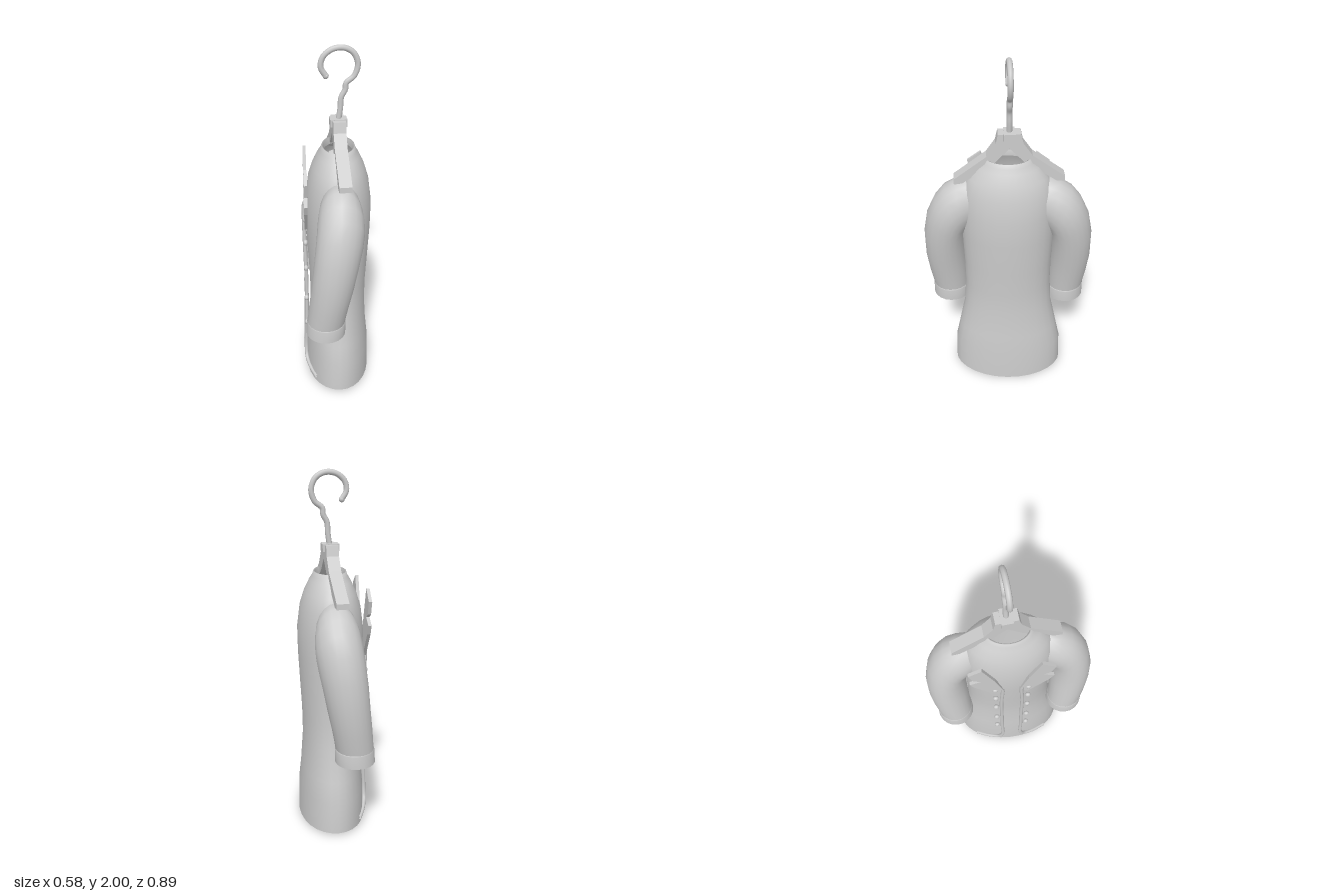
import * as THREE from 'three';

const grey = new THREE.MeshStandardMaterial({ color: 0xcccccc, side: THREE.DoubleSide });
grey.name = 'light grey';

function add(parent, name, geometry) {
  const mesh = new THREE.Mesh(geometry, grey);
  mesh.name = name;
  parent.add(mesh);
  return mesh;
}

// Skin over closed rings of points, listed from bottom to top
function loft(rings) {
  const n = rings[0].length, index = [];
  for (let j = 0; j < rings.length - 1; j++) {
    for (let i = 0; i < n; i++) {
      const a = j * n + i, b = j * n + (i + 1) % n;
      index.push(a, a + n, b, b, a + n, b + n);
    }
  }
  const g = new THREE.BufferGeometry();
  g.setAttribute('position', new THREE.Float32BufferAttribute(rings.flat(2), 3));
  g.setIndex(index);
  g.computeVertexNormals();
  return g;
}

// Ring between an inner and an outer point, with depth along z
function ring([xi, yi, xo, yo, zc, hz], n = 20) {
  return Array.from({ length: n }, (_, i) => {
    const t = i / n * Math.PI * 2, c = Math.cos(t);
    return [(xi + xo) / 2 + c * (xo - xi) / 2, (yi + yo) / 2 + c * (yo - yi) / 2, zc + hz * Math.sin(t)];
  });
}

function plate(points, depth) {
  const shape = new THREE.Shape(points.map(p => new THREE.Vector2(...p)));
  const g = new THREE.ExtrudeGeometry(shape, { depth, bevelEnabled: false });
  return g.translate(0, 0, -depth / 2);
}

function tube(points, radius, segments) {
  const curve = new THREE.CatmullRomCurve3(points.map(p => new THREE.Vector3(...p)));
  return new THREE.TubeGeometry(curve, segments, radius, 8);
}

function buildCoat() {
  const coat = new THREE.Group();
  coat.name = 'coat';

  // Body: height, half width, half depth
  const body = [
    [0.01, 0.325, 0.19], [0.2, 0.318, 0.185], [0.32, 0.293, 0.172], [0.5, 0.256, 0.16],
    [0.65, 0.247, 0.162], [0.8, 0.248, 0.17], [1.0, 0.255, 0.18], [1.15, 0.258, 0.182],
    [1.28, 0.25, 0.165], [1.36, 0.215, 0.14], [1.42, 0.165, 0.112], [1.445, 0.135, 0.096],
    [1.47, 0.122, 0.088], [1.465, 0.112, 0.08], [1.43, 0.118, 0.08],
  ].map(([y, a, b]) => ring([-a, y, a, y, 0, b], 28));
  body[0].forEach((p, i) => { p[1] += 0.01 * Math.cos(i / 28 * Math.PI * 4); });
  add(coat, 'body', loft(body));

  for (const side of [1, -1]) {
    const half = new THREE.Group();
    half.name = side > 0 ? 'leftHalf' : 'rightHalf';
    half.scale.x = side;
    coat.add(half);

    // Sleeve bending forward toward the cuff
    add(half, 'sleeve', loft([
      [0.238, 0.56, 0.444, 0.56, 0.082, 0.103],
      [0.243, 0.68, 0.462, 0.68, 0.066, 0.108],
      [0.247, 0.78, 0.475, 0.82, 0.046, 0.114],
      [0.25, 0.87, 0.472, 0.98, 0.028, 0.12],
      [0.248, 0.94, 0.445, 1.12, 0.012, 0.124],
      [0.245, 0.98, 0.40, 1.22, 0.003, 0.125],
      [0.24, 1.0, 0.345, 1.29, 0, 0.123],
      [0.23, 1.02, 0.28, 1.33, 0, 0.117],
      [0.215, 1.04, 0.22, 1.345, 0, 0.108],
      [0.19, 1.06, 0.185, 1.32, 0, 0.095],
    ].map(r => ring(r))));
    add(half, 'cuff', loft([
      [0.232, 0.49, 0.45, 0.49, 0.084, 0.109],
      [0.234, 0.562, 0.449, 0.562, 0.081, 0.108],
      [0.241, 0.57, 0.442, 0.57, 0.08, 0.1],
    ].map(r => ring(r))));

    // Notched lapel standing off the chest
    const lapel = add(half, 'lapel', plate([
      [0.045, 1.05], [0.09, 1.22], [0.155, 1.4], [0.228, 1.345],
      [0.205, 1.27], [0.165, 1.245], [0.225, 1.215], [0.2, 1.16], [0.085, 1.0],
    ], 0.018));
    lapel.position.z = 0.18;

    // Front edge trim that sweeps round at the hem
    add(half, 'frontTrim', tube([
      [0.05, 1.08, 0.192], [0.06, 0.85, 0.188], [0.06, 0.6, 0.183], [0.06, 0.3, 0.188],
      [0.06, 0.14, 0.193], [0.085, 0.08, 0.19], [0.15, 0.06, 0.172], [0.23, 0.045, 0.136],
    ], 0.011, 48));

    // Button column
    for (const y of [1.07, 0.92, 0.75, 0.54, 0.36]) {
      const button = add(half, 'button', new THREE.SphereGeometry(0.017, 10, 8));
      button.scale.z = 0.8;
      button.position.set(0.092, y, 0.185);
    }
  }
  return coat;
}

function buildHanger() {
  const hanger = new THREE.Group();
  hanger.name = 'hanger';

  // Arms cut from one mirrored outline
  const right = [
    [0.06, 1.615], [0.072, 1.56], [0.12, 1.49], [0.294, 1.36], [0.294, 1.33],
    [0.25, 1.335], [0.075, 1.455], [0, 1.535],
  ];
  const left = right.slice(0, -1).reverse().map(([x, y]) => [-x, y]);
  add(hanger, 'arms', plate([...right, ...left], 0.067));

  const clasp = add(hanger, 'clasp', new THREE.BoxGeometry(0.06, 0.04, 0.09));
  clasp.position.y = 1.598;

  // Wire hook, in the plane across the arms
  const hook = [
    [0, 1.6], [-0.01, 1.67], [-0.015, 1.73], [-0.035, 1.77], [-0.04, 1.805], [-0.08, 1.84],
    [-0.098, 1.9], [-0.075, 1.958], [-0.025, 1.985], [0.035, 1.978], [0.08, 1.94],
    [0.09, 1.89], [0.065, 1.845],
  ].map(([z, y]) => [0, y, z]);
  add(hanger, 'hook', tube(hook, 0.015, 64));
  const tip = add(hanger, 'hookTip', new THREE.SphereGeometry(0.016, 8, 6));
  tip.position.set(0, 1.845, 0.065);
  return hanger;
}

export function createModel() {
  const model = new THREE.Group();
  model.name = 'coatOnHanger';

  const coat = buildCoat();
  coat.rotation.y = -THREE.MathUtils.degToRad(65);
  coat.position.set(0.03, 0, -0.005);

  const hanger = buildHanger();
  hanger.rotation.y = -THREE.MathUtils.degToRad(60.5);
  hanger.position.set(0.027, 0, -0.012);

  model.add(coat, hanger);
  return model;
}
